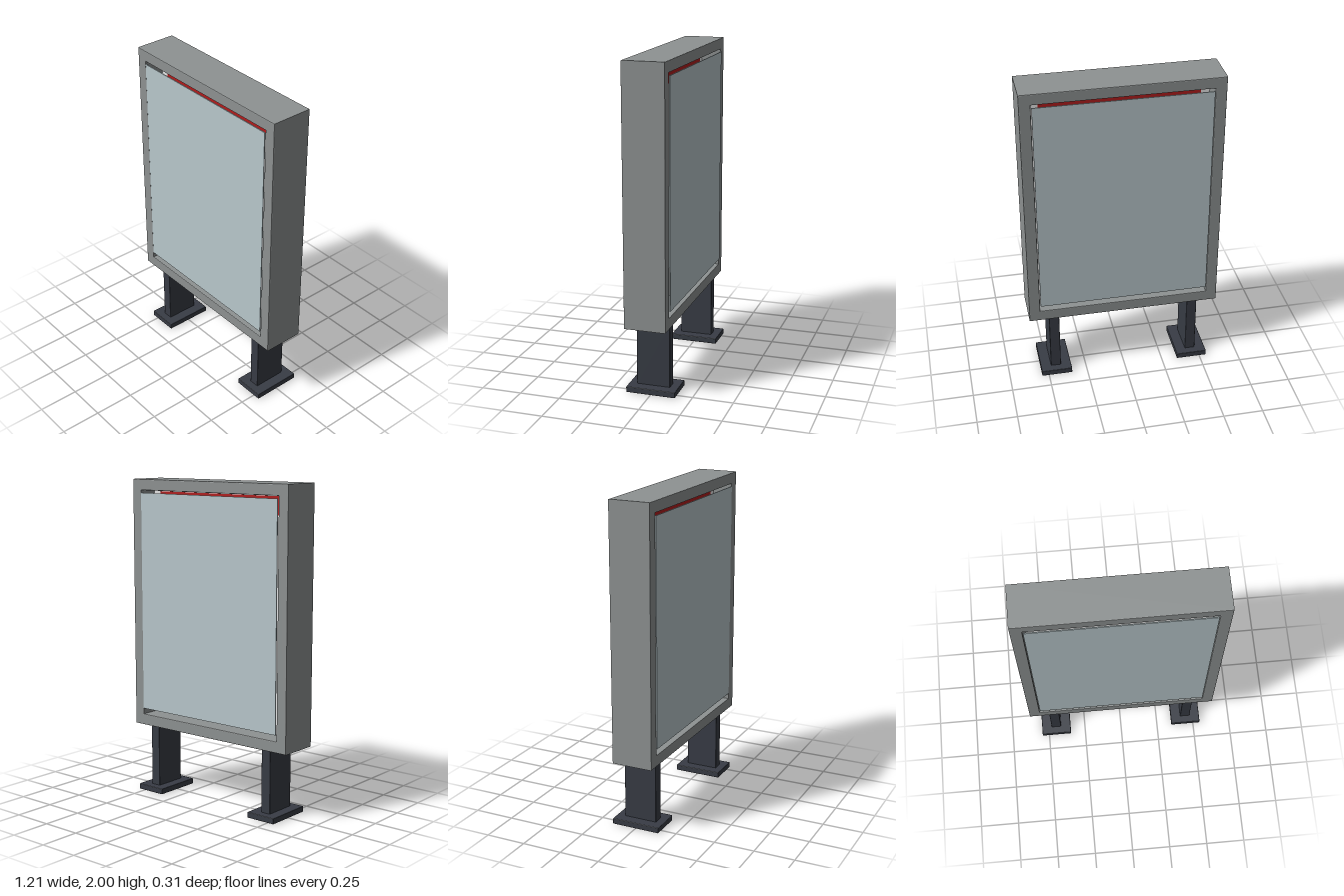
import * as THREE from 'three';
import { RoundedBoxGeometry } from 'three/addons/geometries/RoundedBoxGeometry.js';

const mat = (name, color) => {
  const m = new THREE.MeshStandardMaterial({ color });
  m.name = name;
  return m;
};

export function createModel() {
  const group = new THREE.Group();
  const frameGrey = mat('frameGrey', 0x8e9292);
  const glassBlue = mat('glassBlue', 0xb9c8cc);
  const legDark = mat('legDark', 0x383c45);
  const posterWhite = mat('posterWhite', 0xfafafa);
  const posterRed = mat('posterRed', 0xb01c1c);

  const add = (name, geometry, material, x, y, z, parent = group) => {
    const mesh = new THREE.Mesh(geometry, material);
    mesh.name = name;
    mesh.position.set(x, y, z);
    parent.add(mesh);
    return mesh;
  };
  const box = (w, h, d) => new THREE.BoxGeometry(w, h, d);

  // Deep picture-frame housing with softened edges, open at front and back
  const zBack = -0.117, zFront = 0.141, bevel = 0.005;
  const rect = (target, x, y0, y1) => {
    target.moveTo(-x, y0);
    target.lineTo(x, y0);
    target.lineTo(x, y1);
    target.lineTo(-x, y1);
    target.closePath();
    return target;
  };
  const outline = rect(new THREE.Shape(), 0.603 - bevel, 0.427 + bevel, 2 - bevel);
  outline.holes.push(rect(new THREE.Path(), 0.534 + bevel, 0.497 - bevel, 1.932 + bevel));
  const housing = new THREE.ExtrudeGeometry(outline, {
    depth: zFront - zBack - 2 * bevel,
    bevelThickness: bevel, bevelSize: bevel, bevelSegments: 2,
  });
  add('housingFrame', housing, frameGrey, 0, 0, zBack + bevel);

  // Glass doors, sitting just proud of the housing on both faces
  for (const [name, z] of [['frontGlass', 0.14], ['backGlass', -0.119]])
    add(name, box(1.06, 1.38, 0.006), glassBlue, 0, 1.226, z);

  // Two-sided poster board between the doors
  const poster = new THREE.Group();
  poster.name = 'poster';
  poster.position.z = 0.012;
  group.add(poster);
  add('posterBoard', box(1.066, 1.433, 0.012), posterWhite, 0, 1.2145, 0, poster);
  for (const s of [1, -1]) {
    add('posterTopBand', box(0.96, 0.11, 0.003), posterRed, 0, 1.867, s * 0.007, poster);
    add('posterPatch', box(0.16, 0.07, 0.003), posterRed, s * 0.3, 0.6, s * 0.007, poster);
  }

  // Legs with flat base plates
  for (const [side, s] of [['left', 1], ['right', -1]]) {
    add(side + 'Leg', new RoundedBoxGeometry(0.065, 0.405, 0.208, 2, 0.004), legDark, s * 0.447, 0.2325, 0.002);
    add(side + 'BasePlate', new RoundedBoxGeometry(0.196, 0.036, 0.306, 2, 0.004), legDark, s * 0.447, 0.018, 0);
  }

  return group;
}
